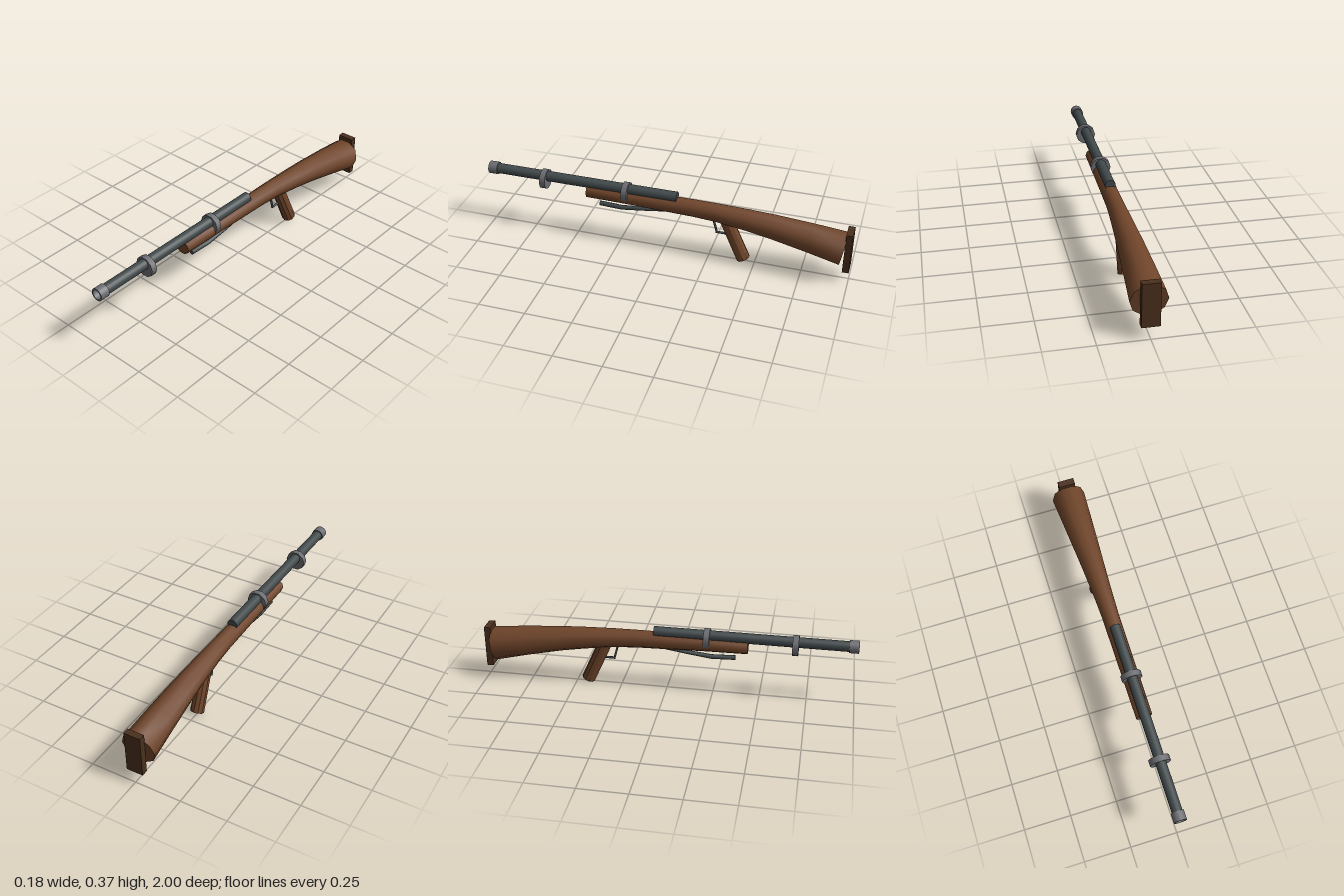
import * as THREE from 'three';
import { mergeGeometries } from 'three/addons/utils/BufferGeometryUtils.js';

const material = (name, color, flatShading = false) => {
  const m = new THREE.MeshStandardMaterial({ color });
  m.name = name;
  m.flatShading = flatShading;
  return m;
};

// Sweeps an oval ring through stations [z, y, rx, ry] and closes both ends.
function sweep(stations, sides, phase = 0, flat = false) {
  const rings = stations.map(([z, y, rx, ry], i) => {
    const a = stations[Math.max(i - 1, 0)];
    const b = stations[Math.min(i + 1, stations.length - 1)];
    const len = Math.hypot(b[0] - a[0], b[1] - a[1]);
    const tz = (b[0] - a[0]) / len, ty = (b[1] - a[1]) / len;
    const ring = [];
    for (let j = 0; j < sides; j++) {
      const t = phase + (j / sides) * Math.PI * 2;
      const u = Math.sin(t) * ry;
      ring.push(Math.cos(t) * rx, y - tz * u, z + ty * u);
    }
    return ring;
  });
  const build = (positions, index) => {
    const g = new THREE.BufferGeometry();
    g.setAttribute('position', new THREE.Float32BufferAttribute(positions, 3));
    g.setIndex(index);
    const out = flat ? g.toNonIndexed() : g;
    out.computeVertexNormals();
    return out;
  };
  const side = [];
  for (let i = 0; i < rings.length - 1; i++) {
    for (let j = 0; j < sides; j++) {
      const k = (j + 1) % sides;
      const a = i * sides + j, b = i * sides + k, c = a + sides, d = b + sides;
      side.push(a, c, b, b, c, d);
    }
  }
  const front = [], back = [];
  for (let j = 1; j < sides - 1; j++) {
    front.push(0, j, j + 1);
    back.push(0, j + 1, j);
  }
  return mergeGeometries([
    build(rings.flat(), side),
    build(rings[0], front),
    build(rings[rings.length - 1], back),
  ]);
}

export function createModel() {
  const group = new THREE.Group();
  const wood = material('wood', 0x70452a);
  const gripWood = material('grip wood', 0x70452a, true);
  const darkWood = material('dark wood', 0x4a301d);
  const steel = material('dark steel', 0x41494b);
  const grey = material('grey metal', 0x6c6d72);

  const add = (name, geometry, mat, x = 0, y = 0, z = 0) => {
    const mesh = new THREE.Mesh(geometry, mat);
    mesh.name = name;
    mesh.position.set(x, y, z);
    group.add(mesh);
    return mesh;
  };

  // Long wooden stock, widening and dropping toward the back
  add('stock', sweep([
    [0.43, 0.288, 0.043, 0.04],
    [0.2, 0.287, 0.044, 0.042],
    [0, 0.285, 0.045, 0.046],
    [-0.16, 0.283, 0.046, 0.048],
    [-0.29, 0.278, 0.051, 0.051],
    [-0.45, 0.264, 0.06, 0.059],
    [-0.59, 0.248, 0.069, 0.067],
    [-0.78, 0.219, 0.081, 0.08],
    [-0.957, 0.188, 0.092, 0.092],
  ], 10), wood);

  add('buttPlate', new THREE.BoxGeometry(0.09, 0.23, 0.035), darkWood, 0, 0.185, -0.9825);

  // Barrel and hollow muzzle
  add('barrel', new THREE.CylinderGeometry(0.028, 0.028, 1.02, 20).rotateX(Math.PI / 2),
    steel, 0, 0.335, 0.44);
  const muzzleProfile = [
    [0, 0], [0.034, 0], [0.034, 0], [0.034, 0.05], [0.034, 0.05],
    [0.026, 0.05], [0.026, 0.05], [0.026, 0.02], [0.026, 0.02], [0, 0.02],
  ].map(([r, h]) => new THREE.Vector2(r, h));
  // Separate wall sections keep the rims sharp
  const muzzle = [0, 2, 4, 6, 8].map((i) =>
    new THREE.LatheGeometry(muzzleProfile.slice(i, i + 2), 20));
  add('muzzle', mergeGeometries(muzzle).rotateX(Math.PI / 2), grey, 0, 0.335, 0.95);

  // Bands holding the barrel
  for (const [name, z] of [['frontBand', 0.677], ['rearBand', 0.213]]) {
    const band = new THREE.CylinderGeometry(0.055, 0.055, 0.032, 10)
      .rotateY(Math.PI / 2).rotateX(Math.PI / 2);
    add(name, band, grey, 0, 0.316, z);
  }

  // Bent rod under the fore end
  add('underRod', sweep([
    [0.365, 0.217, 0.013, 0.013],
    [0.24, 0.212, 0.013, 0.013],
    [0.12, 0.226, 0.012, 0.011],
    [-0.01, 0.242, 0.009, 0.008],
  ], 8), steel);

  // Slanted grip
  add('grip', sweep([
    [-0.335, 0.25, 0.031, 0.037],
    [-0.438, 0.019, 0.037, 0.037],
  ], 10, Math.PI / 2, true), gripWood);

  // Trigger guard made of two thin bars
  const guard = new THREE.Group();
  guard.name = 'triggerGuard';
  const bars = [
    [[-0.268, 0.235], [-0.29, 0.153]],
    [[-0.284, 0.157], [-0.365, 0.157]],
  ];
  for (const [a, b] of bars) {
    const bar = new THREE.Mesh(sweep([[...a, 0.007, 0.006], [...b, 0.007, 0.006]], 6), steel);
    bar.name = 'guardBar';
    guard.add(bar);
  }
  group.add(guard);

  return group;
}
